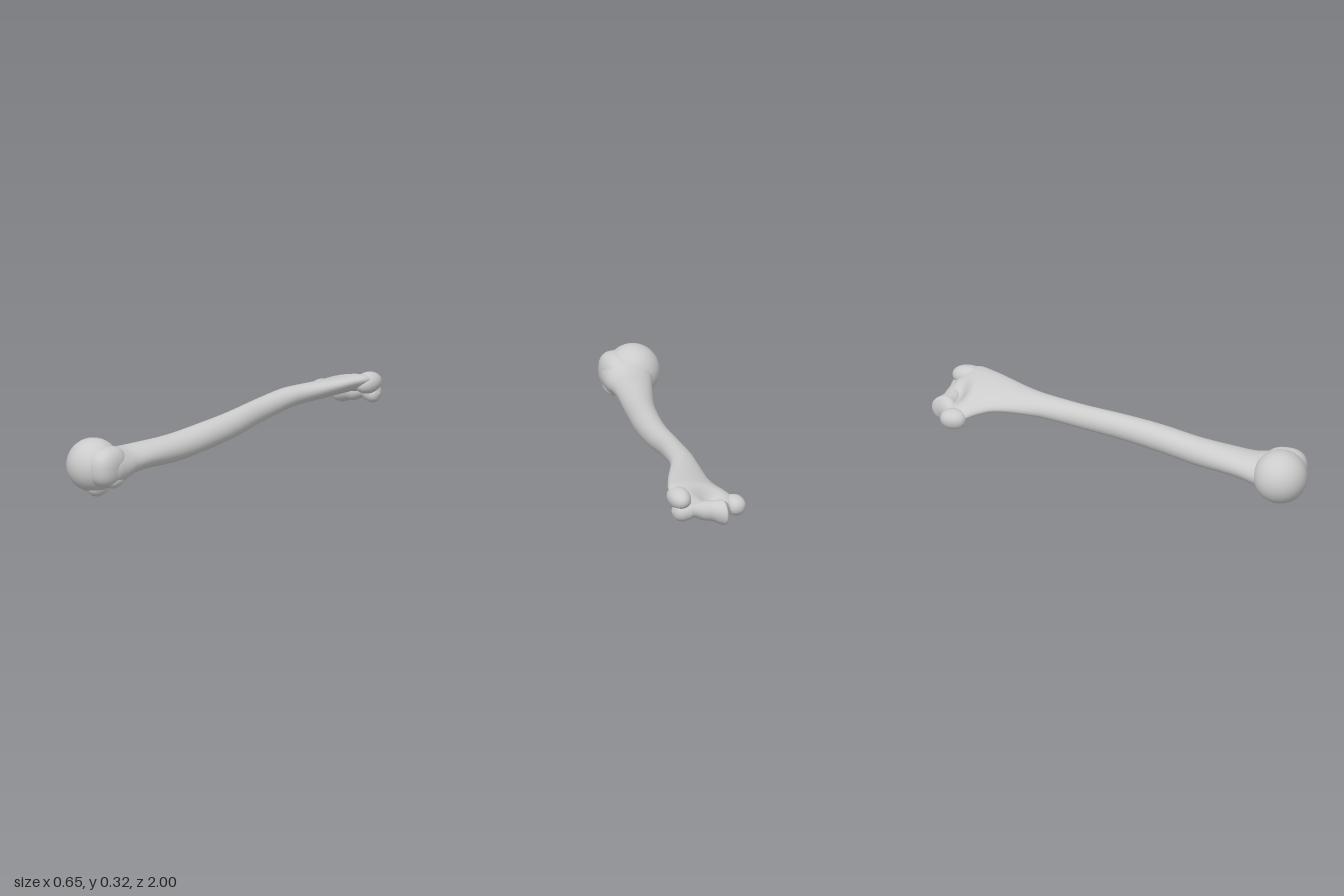
import * as THREE from 'three';

const material = new THREE.MeshStandardMaterial({ color: 0xcccccc });

// Uniform Catmull-Rom through the rows of a station table
function sample(rows, u) {
  const i = Math.min(Math.floor(u), rows.length - 2), f = u - i;
  const at = (k) => rows[Math.max(0, Math.min(rows.length - 1, k))];
  const [p, q, r, s] = [at(i - 1), at(i), at(i + 1), at(i + 2)];
  return q.map((b, k) => b + 0.5 * f * (r[k] - p[k]
    + f * (2 * p[k] - 5 * b + 4 * r[k] - s[k] + f * (3 * (b - r[k]) + s[k] - p[k]))));
}

// Closed loft; each station is [t, centreA, centreB, radiusA, radiusB, shear].
// place(a, b, t, sin) turns section coordinates into a point.
function loft(name, stations, place, sides = 56, steps = 8) {
  const positions = [], index = [];
  const rings = (stations.length - 1) * steps;
  for (let i = 0; i <= rings; i++) {
    const [t, ca, cb, ra, rb, shear] = sample(stations, i / steps);
    for (let j = 0; j < sides; j++) {
      const angle = (j / sides) * Math.PI * 2;
      const da = Math.max(ra, 0.0005) * Math.cos(angle);
      const db = Math.max(rb, 0.0005) * Math.sin(angle) + shear * da;
      positions.push(...place(ca + da, cb + db, t, Math.sin(angle)));
      if (i < rings) {
        const a = i * sides + j, b = i * sides + (j + 1) % sides;
        index.push(a, b, b + sides, a, b + sides, a + sides);
      }
    }
  }
  const geometry = new THREE.BufferGeometry();
  geometry.setAttribute('position', new THREE.Float32BufferAttribute(positions, 3));
  geometry.setIndex(index);
  geometry.computeVertexNormals();
  const mesh = new THREE.Mesh(geometry, material);
  mesh.name = name;
  return mesh;
}

// Rounded lump: an ellipsoid, squarer when power is below 1
function lump(name, centre, radii, power = 1, tilt = 0) {
  const geometry = new THREE.SphereGeometry(1, 48, 32);
  const p = geometry.attributes.position;
  const v = new THREE.Vector3();
  const n = 2 / power;
  for (let i = 0; i < p.count; i++) {
    v.fromBufferAttribute(p, i);
    const norm = (Math.abs(v.x) ** n + Math.abs(v.y) ** n + Math.abs(v.z) ** n) ** (1 / n);
    v.divideScalar(norm);
    p.setXYZ(i, v.x * radii[0], v.y * radii[1], v.z * radii[2]);
  }
  if (power !== 1) geometry.computeVertexNormals();
  else geometry.scale(1, 1, 1).computeVertexNormals();
  const mesh = new THREE.Mesh(geometry, material);
  mesh.name = name;
  mesh.position.set(...centre);
  mesh.rotation.z = tilt;
  return mesh;
}

const dip = (x, z, cx, cz, w, l) => Math.exp(-(((x - cx) / w) ** 2) - ((z - cz) / l) ** 2);

export function createModel() {
  const bone = new THREE.Group();
  bone.name = 'upperArmBone';

  // Shaft from the flared elbow end to the shoulder end: [z, x, y, halfWidth, halfHeight, shear]
  const shaft = [
    [-0.935, 0.13, 0.2, 0.0, 0.0, 0.25],
    [-0.925, 0.13, 0.202, 0.1, 0.025, 0.25],
    [-0.89, 0.125, 0.215, 0.165, 0.042, 0.28],
    [-0.85, 0.127, 0.23, 0.18, 0.052, 0.3],
    [-0.8, 0.135, 0.244, 0.168, 0.053, 0.3],
    [-0.74, 0.14, 0.252, 0.14, 0.049, 0.3],
    [-0.66, 0.133, 0.256, 0.112, 0.048, 0.28],
    [-0.5, 0.09, 0.255, 0.077, 0.052, 0.2],
    [-0.4, 0.07, 0.251, 0.065, 0.055, 0.12],
    [-0.2, 0.049, 0.229, 0.057, 0.061, 0.05],
    [0, 0.036, 0.206, 0.063, 0.066, 0],
    [0.2, 0.005, 0.185, 0.071, 0.07, 0],
    [0.4, -0.042, 0.165, 0.077, 0.071, 0],
    [0.6, -0.095, 0.164, 0.095, 0.067, 0],
    [0.7, -0.121, 0.16, 0.109, 0.072, 0],
    [0.76, -0.132, 0.157, 0.122, 0.086, 0],
    [0.81, -0.14, 0.156, 0.128, 0.103, 0],
    [0.88, -0.14, 0.157, 0.118, 0.105, 0],
    [0.94, -0.14, 0.16, 0.08, 0.07, 0],
    [0.96, -0.14, 0.16, 0, 0, 0],
  ];
  // Hollows above and below the elbow joint are pressed into the loft
  bone.add(loft('shaft', shaft, (x, y, z, s) => {
    const press = s > 0
      ? 0.045 * s * dip(x, z, 0.11, -0.865, 0.07, 0.04)
      : 0.025 * s * dip(x, z, 0.12, -0.83, 0.09, 0.05);
    return [x, y - press, z];
  }));

  // Grooved roller of the elbow joint, running across: [x, y, z, radius, radius, shear]
  const roller = [
    [0.0, 0.18, -0.89, 0, 0, 0],
    [0.02, 0.178, -0.897, 0.032, 0.032, 0],
    [0.04, 0.177, -0.914, 0.052, 0.052, 0],
    [0.057, 0.18, -0.933, 0.066, 0.066, 0],
    [0.08, 0.182, -0.928, 0.062, 0.062, 0],
    [0.12, 0.19, -0.913, 0.053, 0.053, 0],
    [0.16, 0.195, -0.907, 0.05, 0.05, 0],
    [0.21, 0.207, -0.905, 0.039, 0.039, 0],
    [0.24, 0.204, -0.9, 0.046, 0.046, 0],
    [0.275, 0.202, -0.895, 0.048, 0.048, 0],
    [0.305, 0.203, -0.89, 0.034, 0.034, 0],
    [0.318, 0.205, -0.885, 0, 0, 0],
  ];
  bone.add(loft('elbowRoller', roller, (y, z, x) => [x, y, z], 40, 6));

  // Side knobs of the elbow end
  bone.add(lump('innerElbowKnob', [-0.032, 0.178, -0.868], [0.051, 0.05, 0.066], 0.9, 0.25));
  bone.add(lump('outerElbowKnob', [0.268, 0.264, -0.858], [0.056, 0.052, 0.085], 0.95, -0.2));

  // Ball and knobs of the shoulder end
  bone.add(lump('ballHead', [-0.19, 0.162, 0.862], [0.137, 0.137, 0.137]));
  bone.add(lump('greaterKnob', [-0.102, 0.167, 0.866], [0.08, 0.102, 0.114], 0.82));
  bone.add(lump('greaterKnobTip', [-0.072, 0.105, 0.85], [0.042, 0.047, 0.07], 0.95, 0.2));
  bone.add(lump('lesserKnob', [-0.162, 0.06, 0.857], [0.045, 0.058, 0.075], 0.95));

  return bone;
}
